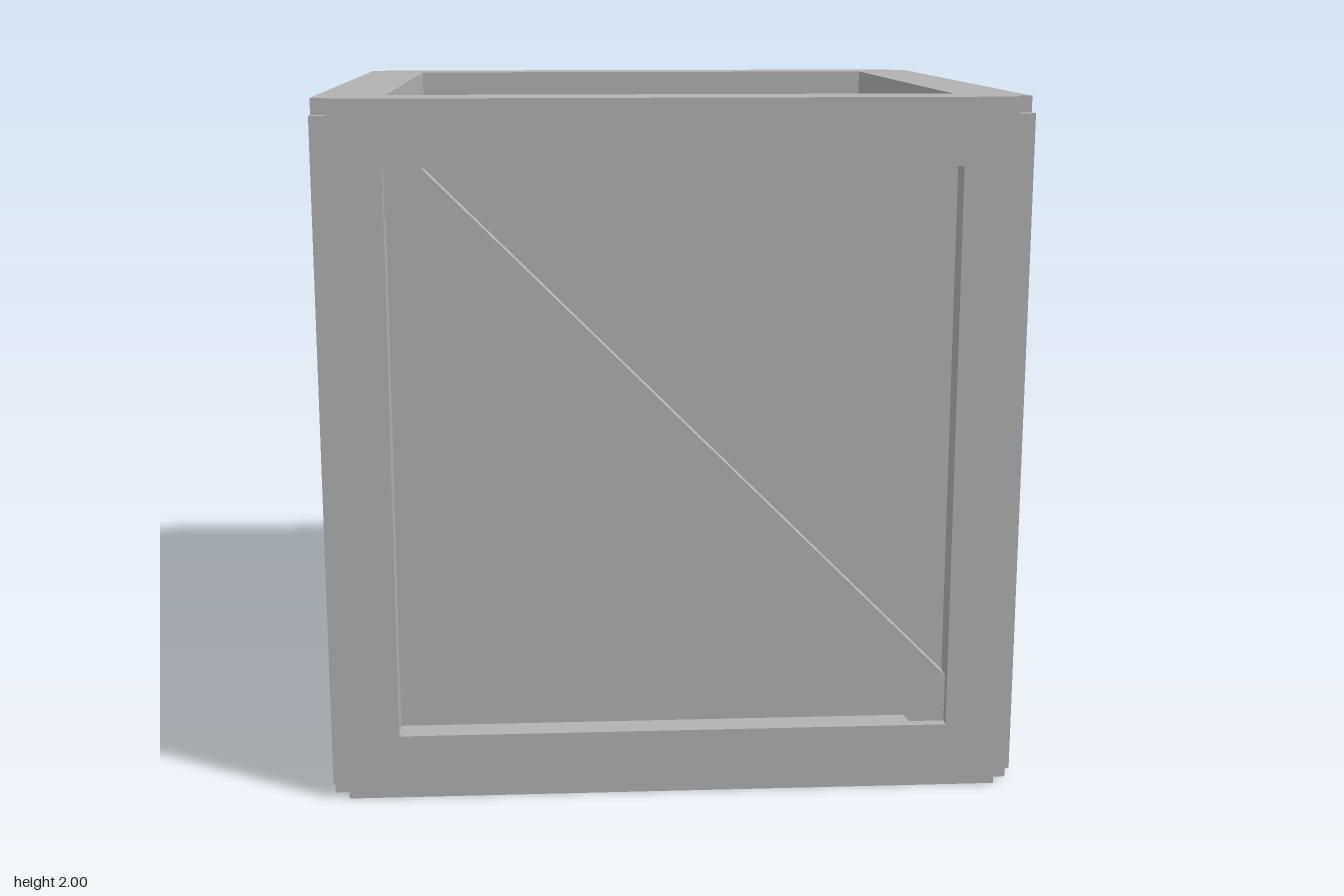
import * as THREE from 'three';
import { mergeGeometries } from 'three/addons/utils/BufferGeometryUtils.js';

// Axis-aligned box from two opposite corners given in any order
function boxBetween(a, b) {
  const s = a.map((v, i) => Math.abs(b[i] - v));
  const c = a.map((v, i) => (b[i] + v) / 2);
  return new THREE.BoxGeometry(...s).translate(...c);
}

export function createModel() {
  const crate = new THREE.Group();
  crate.name = 'crate';
  const grey = new THREE.MeshStandardMaterial({ color: 0xb2b2b2 });
  grey.name = 'plain grey';

  const outer = [0.985, 1, 0.98]; // half sizes of the crate
  const inner = [0.793, 0.813, 0.793]; // half sizes of the panel openings
  const notch = 0.045;
  const midY = 1;

  function add(geometry, name, parent = crate) {
    const mesh = new THREE.Mesh(geometry, grey);
    mesh.name = name;
    parent.add(mesh);
    return mesh;
  }

  // Recessed panels, the six sides of one inner box
  add(boxBetween([-0.908, 0.083, -0.9], [0.908, 1.904, 0.9]), 'recessedPanels');

  // Twelve frame beams, four along each axis
  const frame = new THREE.Group();
  frame.name = 'frame';
  crate.add(frame);
  const names = ['horizontalRail', 'cornerPost', 'depthRail'];
  for (let axis = 0; axis < 3; axis++) {
    for (const s of [-1, 1]) {
      for (const t of [-1, 1]) {
        const a = [], b = [];
        const u = (axis + 1) % 3, v = (axis + 2) % 3;
        a[axis] = -inner[axis]; b[axis] = inner[axis];
        a[u] = s * inner[u]; b[u] = s * outer[u];
        a[v] = t * inner[v]; b[v] = t * outer[v];
        add(boxBetween(a, b).translate(0, midY, 0), names[axis], frame);
      }
    }
  }

  // Eight corner joints, each a block with a small cube cut from its tip
  for (const sx of [-1, 1]) for (const sy of [-1, 1]) for (const sz of [-1, 1]) {
    const signed = (x, y, z) => [sx * x, sy * y, sz * z];
    const [ix, iy, iz] = inner;
    const [ox, oy, oz] = outer;
    const [cx, cy, cz] = outer.map((v) => v - notch);
    const joint = mergeGeometries([
      boxBetween(signed(ix, iy, iz), signed(cx, oy, oz)),
      boxBetween(signed(cx, iy, iz), signed(ox, cy, oz)),
      boxBetween(signed(cx, cy, iz), signed(ox, oy, cz)),
    ]);
    add(joint.translate(0, midY, 0), 'notchedCorner', frame);
  }

  // Diagonal braces on front and back, trimmed to the opening
  const [w, h] = inner;
  const offset = 0.12; // vertical half width of the brace
  const points = [
    [-w, h], [-w, w - offset], [h - offset, -h],
    [w, -h], [w, offset - w], [offset - h, h],
  ].map(([x, y]) => new THREE.Vector2(x, y + midY));
  const shape = new THREE.Shape(points);
  for (const [name, z] of [['frontBrace', 0.895], ['backBrace', -0.95]]) {
    const brace = new THREE.ExtrudeGeometry(shape, { depth: 0.055, bevelEnabled: false });
    add(brace.translate(0, 0, z), name);
  }

  return crate;
}
